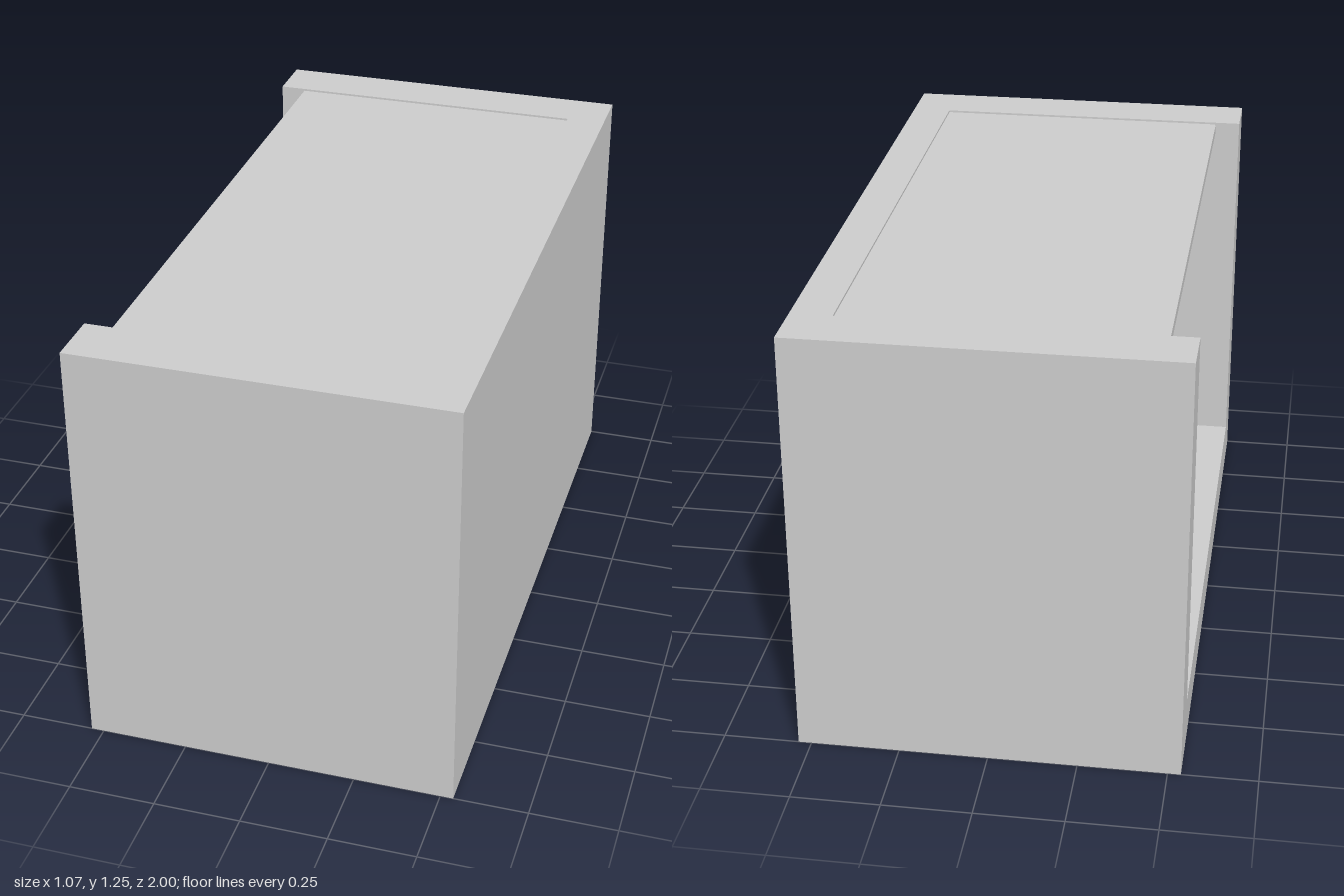
import * as THREE from 'three';

// Overall half width, height, half length
const X = 0.537, H = 1.247, Z = 1;
// Inner faces of the three upright walls
const wallX = 0.42, backZ = -0.846, frontZ = 0.836;

export function createModel() {
  const model = new THREE.Group();
  const material = new THREE.MeshStandardMaterial({ color: 0xcccccc, flatShading: true });

  const add = (name, geometry) => {
    const mesh = new THREE.Mesh(geometry, material);
    mesh.name = name;
    model.add(mesh);
  };
  // Box given by its lower and upper limits on each axis
  const slab = (name, x0, x1, y0, y1, z0, z1) => add(name,
    new THREE.BoxGeometry(x1 - x0, y1 - y0, z1 - z0)
      .translate((x0 + x1) / 2, (y0 + y1) / 2, (z0 + z1) / 2));

  // U-shaped walls, open towards -x; plan drawn as (x, -z) and raised upwards
  const plan = new THREE.Shape([
    [-X, -Z], [X, -Z], [X, Z], [-X, Z],
    [-X, -backZ], [wallX, -backZ], [wallX, -frontZ], [-X, -frontZ],
  ].map(([x, y]) => new THREE.Vector2(x, y)));
  add('walls', new THREE.ExtrudeGeometry(plan, { depth: H, bevelEnabled: false })
    .rotateX(-Math.PI / 2));

  // Floor and the raised sill across the opening
  const sillX = -0.405, floorTop = 0.03;
  slab('floor', sillX, wallX, 0, floorTop, backZ, frontZ);
  slab('sill', -X, sillX, 0, 0.14, backZ, frontZ);

  // Thin top panel, set just below the rim and back from the opening
  slab('topPanel', -0.461, wallX, H - 0.036, H - 0.006, backZ, frontZ);

  return model;
}
